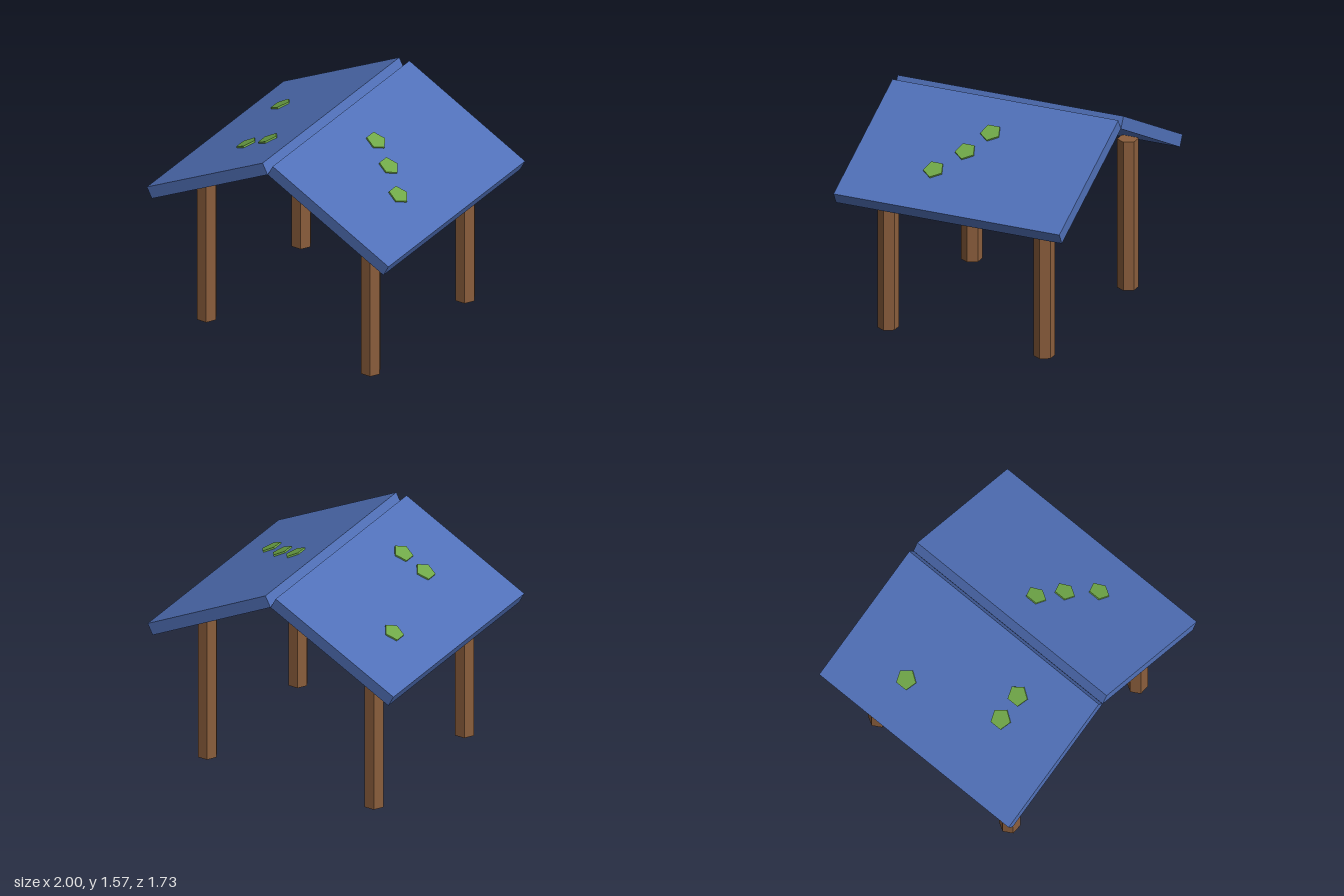
import * as THREE from 'three';

const ANGLE = 0.48;               // roof pitch
const LENGTH = 1.08, THICK = 0.09, DEPTH = 1.73;

export function createModel() {
  const group = new THREE.Group();
  const mat = (name, color) => {
    const m = new THREE.MeshStandardMaterial({ color, flatShading: true });
    m.name = name;
    return m;
  };
  const wood = mat('brown wood', 0x8b5e3c);
  const blue = mat('blue roof', 0x5070b8);
  const green = mat('green leaf', 0x70a848);

  const add = (parent, name, geometry, material, x, y, z) => {
    const mesh = new THREE.Mesh(geometry, material);
    mesh.name = name;
    mesh.position.set(x, y, z);
    parent.add(mesh);
    return mesh;
  };

  // Four hexagonal posts with corners toward the sides
  const postGeo = new THREE.CylinderGeometry(0.075, 0.075, 1.115, 6, 1, false, Math.PI / 6);
  for (const x of [-0.678, 0.678])
    for (const z of [-0.598, 0.598])
      add(group, 'post', postGeo, wood, x, 1.115 / 2, z);

  // Two sloping roof slabs, each carrying flat five-sided leaves
  const slabGeo = new THREE.BoxGeometry(LENGTH, THICK, DEPTH);
  const leafGeo = new THREE.CylinderGeometry(0.075, 0.075, 0.024, 5, 1, false, Math.PI / 2);
  const leaves = {
    1: [[0.318, -0.02], [0.495, 0.09], [0.678, 0.247]],
    [-1]: [[-0.678, -0.343], [-0.498, 0.365], [-0.318, 0.365]],
  };
  for (const side of [1, -1]) {
    const roof = new THREE.Group();
    roof.name = side > 0 ? 'leftRoof' : 'rightRoof';
    roof.position.set(side * 0.5, 1.281, 0);
    roof.rotation.z = -side * ANGLE;
    group.add(roof);
    add(roof, 'roofSlab', slabGeo, blue, 0, 0, 0);
    for (const [x, z] of leaves[side]) {
      // distance along the slope for a leaf seen at x from above
      const u = (x - side * (0.5 + Math.sin(ANGLE) * THICK / 2)) / Math.cos(ANGLE);
      add(roof, 'leaf', leafGeo, green, u, THICK / 2, z);
    }
  }
  return group;
}
